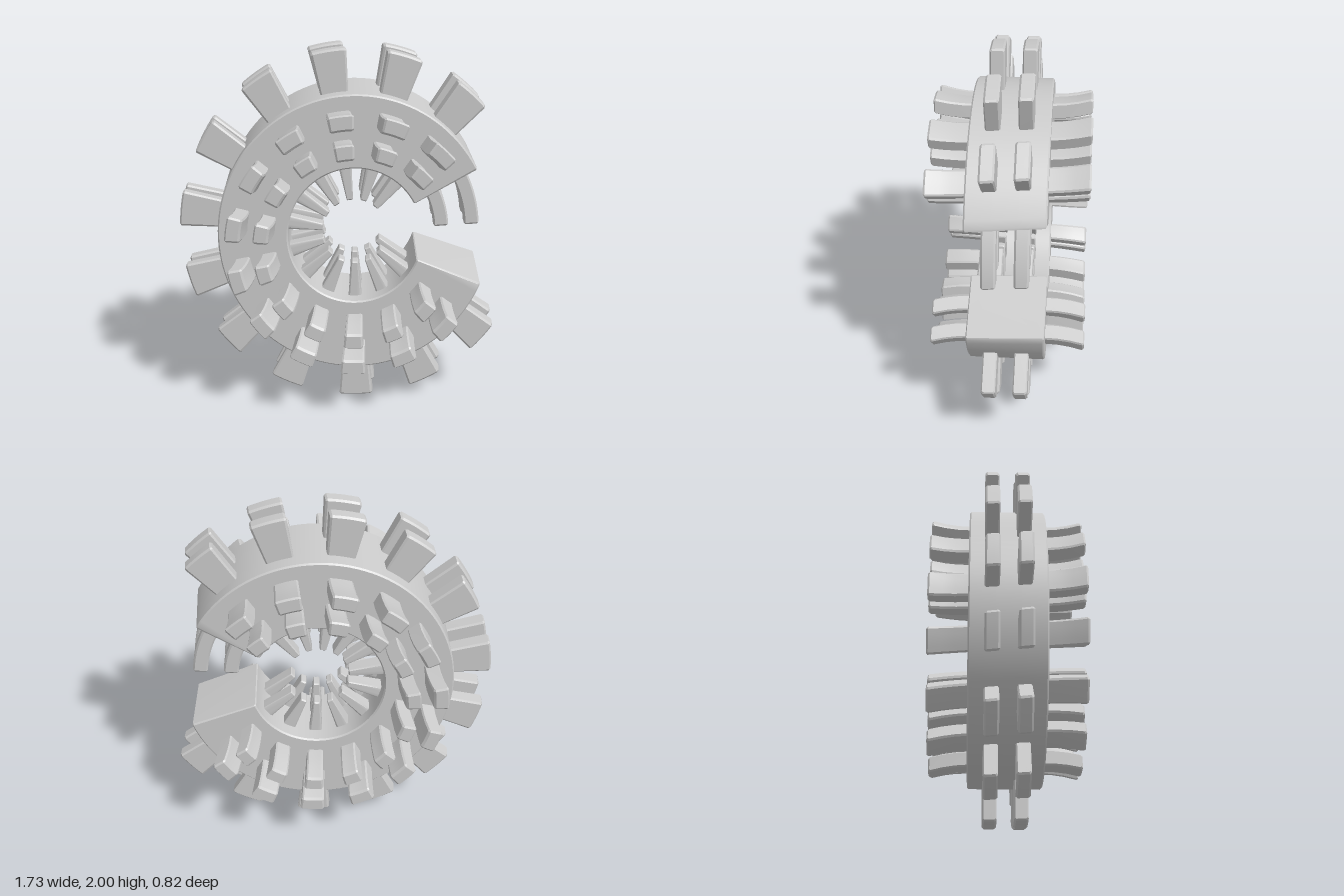
import * as THREE from 'three';
import { toCreasedNormals } from 'three/addons/utils/BufferGeometryUtils.js';

const RAD = Math.PI / 180;
const SQUASH = 0.945;          // the ring is slightly narrower than tall
const CENTRE = [0.08, 1.004];
const TWIST = -6 * RAD;        // turn per unit of depth
const material = new THREE.MeshStandardMaterial({ color: 0xcccccc });

// Chamfered bar (radius r0..r1, depth z0..z1) bent around the axis from angle a0 to a1
function bentBlock(name, r0, r1, z0, z1, a0, a1, bevel, steps) {
  const b = bevel, s = [];
  const across = [0, 1 / 3, 2 / 3, 1].map(t => z0 + b + (z1 - z0 - 2 * b) * t);
  for (const z of across) s.push(new THREE.Vector2(z, r0));
  s.push(new THREE.Vector2(z1, r0 + b), new THREE.Vector2(z1, r1 - b));
  for (const z of across.reverse()) s.push(new THREE.Vector2(z, r1));
  s.push(new THREE.Vector2(z0, r1 - b), new THREE.Vector2(z0, r0 + b));

  const length = (a1 - a0) * RAD * (r0 + r1) / 2;
  let geo = new THREE.ExtrudeGeometry(new THREE.Shape(s), {
    depth: length - 2 * b, steps, bevelEnabled: true,
    bevelThickness: b, bevelSize: b * 0.7, bevelOffset: -b * 0.7, bevelSegments: 1,
  });
  const p = geo.attributes.position;
  for (let i = 0; i < p.count; i++) {
    const z = p.getX(i);
    const a = a0 * RAD + (p.getZ(i) + b) / length * (a1 - a0) * RAD + TWIST * z;
    // side studs flare outward as they leave the ring
    const out = Math.max(0, Math.abs(z) - 0.2);
    const r = p.getY(i) + 0.7 * out * out;
    p.setXYZ(i, CENTRE[0] + SQUASH * r * Math.cos(a), CENTRE[1] + r * Math.sin(a), z);
  }
  geo.deleteAttribute('uv');
  geo = toCreasedNormals(geo, 0.5);
  const mesh = new THREE.Mesh(geo, material);
  mesh.name = name;
  return mesh;
}

export function createModel() {
  const model = new THREE.Group();
  model.name = 'studdedOpenRing';

  // Open C-shaped body
  model.add(bentBlock('ringBody', 0.38, 0.778, -0.203, 0.203, 30, 340.5, 0.008, 96));

  // Twelve stations of teeth and studs
  const HALF = 5.7;
  for (let i = 0; i < 12; i++) {
    const a = 50 + 24.6 * i;
    const station = new THREE.Group();
    station.name = `toothStation${i + 1}`;
    for (const side of [1, -1]) {
      const z = 0.083 * side;
      const near = side > 0 ? 0.19 : -0.41, far = near + 0.22;
      station.add(
        bentBlock('outerTooth', 0.76, 1.002, z - 0.038, z + 0.038, a - HALF, a + HALF, 0.01, 5),
        bentBlock('innerTooth', 0.18, 0.4, z - 0.038, z + 0.038, a - HALF, a + HALF, 0.007, 3),
        bentBlock('outerSideStud', 0.61, 0.695, near, far, a - HALF, a + HALF, 0.01, 4),
        bentBlock('innerSideStud', 0.455, 0.54, near, far, a - HALF, a + HALF, 0.01, 4),
      );
    }
    model.add(station);
  }

  // Four curved fingers reaching out of the upper end
  for (const z of [0.083, -0.083]) {
    for (const [r0, r1] of [[0.455, 0.54], [0.63, 0.715]]) {
      model.add(bentBlock('endFinger', r0, r1, z - 0.038, z + 0.038, 4, 32, 0.01, 10));
    }
  }
  return model;
}
